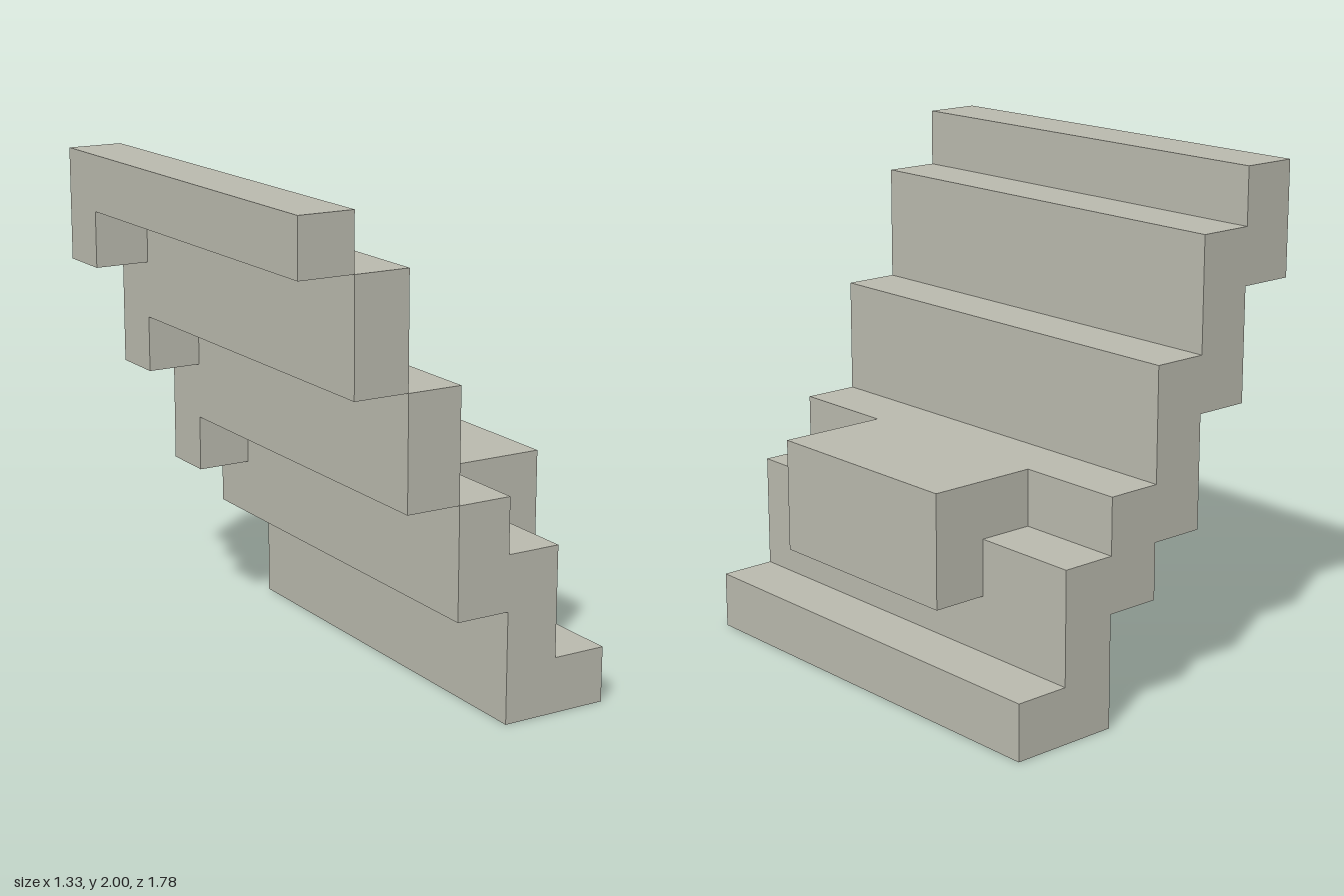
import * as THREE from 'three';

// The whole stair sits on a modular grid: 6 wide, 9 high, 8 deep
const U = 2 / 9;

export function createModel() {
  const group = new THREE.Group();
  group.name = 'staircase';

  const stone = new THREE.MeshStandardMaterial({ color: 0xb9b9ad });
  stone.name = 'stone';

  // Box given by its grid extents
  const block = (name, x0, x1, y0, y1, z0, z1) => {
    const mesh = new THREE.Mesh(
      new THREE.BoxGeometry((x1 - x0) * U, (y1 - y0) * U, (z1 - z0) * U), stone);
    mesh.position.set((x0 + x1) / 2 * U, (y0 + y1) / 2 * U, (z0 + z1) / 2 * U);
    mesh.name = name;
    group.add(mesh);
  };

  // Lower flight: bottom step, riser and landing edge as one profile along z
  const profile = [[1, 0], [3, 0], [3, 1], [2, 1], [2, 3], [1, 3], [1, 4], [0, 4], [0, 2], [1, 2]];
  const shape = new THREE.Shape(profile.map(([x, y]) => new THREE.Vector2(x * U, y * U)));
  const lower = new THREE.Mesh(
    new THREE.ExtrudeGeometry(shape, { depth: 8 * U, bevelEnabled: false }), stone);
  lower.position.z = -4 * U;
  lower.name = 'lowerFlight';
  group.add(lower);

  // Projecting landing in the middle
  block('landing', 1, 3, 2, 4, -2, 2);

  // Upper steps, each carried by a support block at the back end
  const steps = [[-1, 4, 6], [-2, 6, 8], [-3, 8, 9]];
  steps.forEach(([x, bottom, top], i) => {
    block(`upperStep${i + 1}`, x, x + 1, bottom, top, -4, 4);
    block(`backSupport${i + 1}`, x, x + 1, bottom - 1, bottom, -4, -3);
  });

  return group;
}
